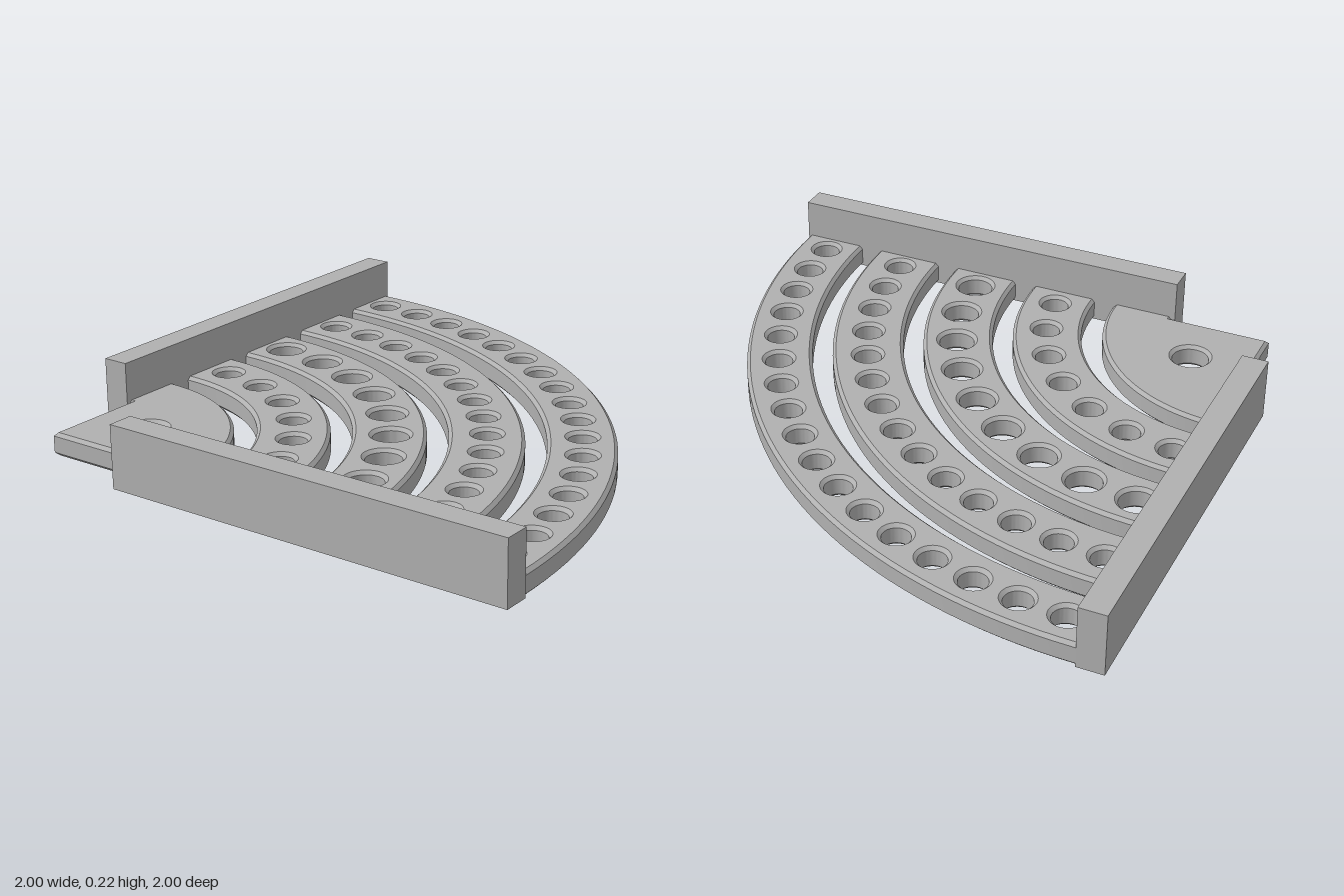
import * as THREE from 'three';
import { toCreasedNormals } from 'three/addons/utils/BufferGeometryUtils.js';

const CORNER = -0.9;     // centre of all arcs, in x and z
const HEIGHT = 0.083;    // plate thickness
const BEVEL = 0.012;
const TAB = 0.05;        // how far the bands run into the walls
const QUARTER = Math.PI / 2;

export function createModel() {
  const group = new THREE.Group();
  const grey = new THREE.MeshStandardMaterial({ color: 0xb0b0b0 });
  grey.name = 'grey';

  // Lays a bevelled plan shape flat on the ground
  function addPlate(name, shape) {
    const g = new THREE.ExtrudeGeometry(shape, {
      depth: HEIGHT - 2 * BEVEL, curveSegments: 24,
      bevelEnabled: true, bevelSegments: 1, bevelSize: BEVEL,
      bevelThickness: BEVEL, bevelOffset: -BEVEL,
    });
    g.rotateX(QUARTER);
    g.translate(CORNER, HEIGHT - BEVEL, CORNER);
    const mesh = new THREE.Mesh(toCreasedNormals(g, 0.4), grey);
    mesh.name = name;
    group.add(mesh);
  }

  function addHole(shape, x, y, r) {
    const hole = new THREE.Path();
    hole.absarc(x, y, r, 0, Math.PI * 2, true);
    shape.holes.push(hole);
  }

  // Corner hub with one large hole; its tabs reach into both walls
  const hubR = 0.606, notch = 0.377;
  const hub = new THREE.Shape();
  hub.moveTo(0, 0);
  hub.lineTo(notch, 0);
  hub.lineTo(notch, -TAB);
  hub.lineTo(hubR, -TAB);
  hub.absarc(0, 0, hubR, 0, QUARTER, false);
  hub.lineTo(-TAB, hubR);
  hub.lineTo(-TAB, notch);
  hub.lineTo(0, notch);
  hub.closePath();
  addHole(hub, 0.224, 0.224, 0.066);
  addPlate('cornerHub', hub);

  // Four curved bands: inner radius, outer radius, hole row radius, count, hole size, first angle
  const bands = [
    [0.684, 0.934, 0.813, 7, 0.049, 5.8],
    [1.008, 1.260, 1.138, 9, 0.063, 4.4],
    [1.333, 1.590, 1.463, 14, 0.049, 2.78],
    [1.663, 1.898, 1.783, 17, 0.049, 2.3],
  ];
  bands.forEach(([r1, r2, row, count, size, first], i) => {
    const s = new THREE.Shape();
    s.moveTo(r1, -TAB);
    s.lineTo(r2, -TAB);
    s.absarc(0, 0, r2, 0, QUARTER, false);
    s.lineTo(-TAB, r2);
    s.lineTo(-TAB, r1);
    s.absarc(0, 0, r1, QUARTER, 0, true);
    s.closePath();
    for (let k = 0; k < count; k++) {
      const a = THREE.MathUtils.degToRad(first + (90 - 2 * first) * k / (count - 1));
      addHole(s, row * Math.cos(a), row * Math.sin(a), size);
    }
    addPlate('perforatedBand' + (i + 1), s);
  });

  // Two upright walls along the straight sides
  const thick = 0.095, tall = 0.225, start = -0.535;
  const length = 1 - start, mid = (1 + start) / 2, offset = -1 + thick / 2;
  const sideWall = new THREE.Mesh(new THREE.BoxGeometry(thick, tall, length), grey);
  sideWall.name = 'sideWall';
  sideWall.position.set(offset, tall / 2, mid);
  const backWall = new THREE.Mesh(new THREE.BoxGeometry(length, tall, thick), grey);
  backWall.name = 'backWall';
  backWall.position.set(mid, tall / 2, offset);
  group.add(sideWall, backWall);

  return group;
}
